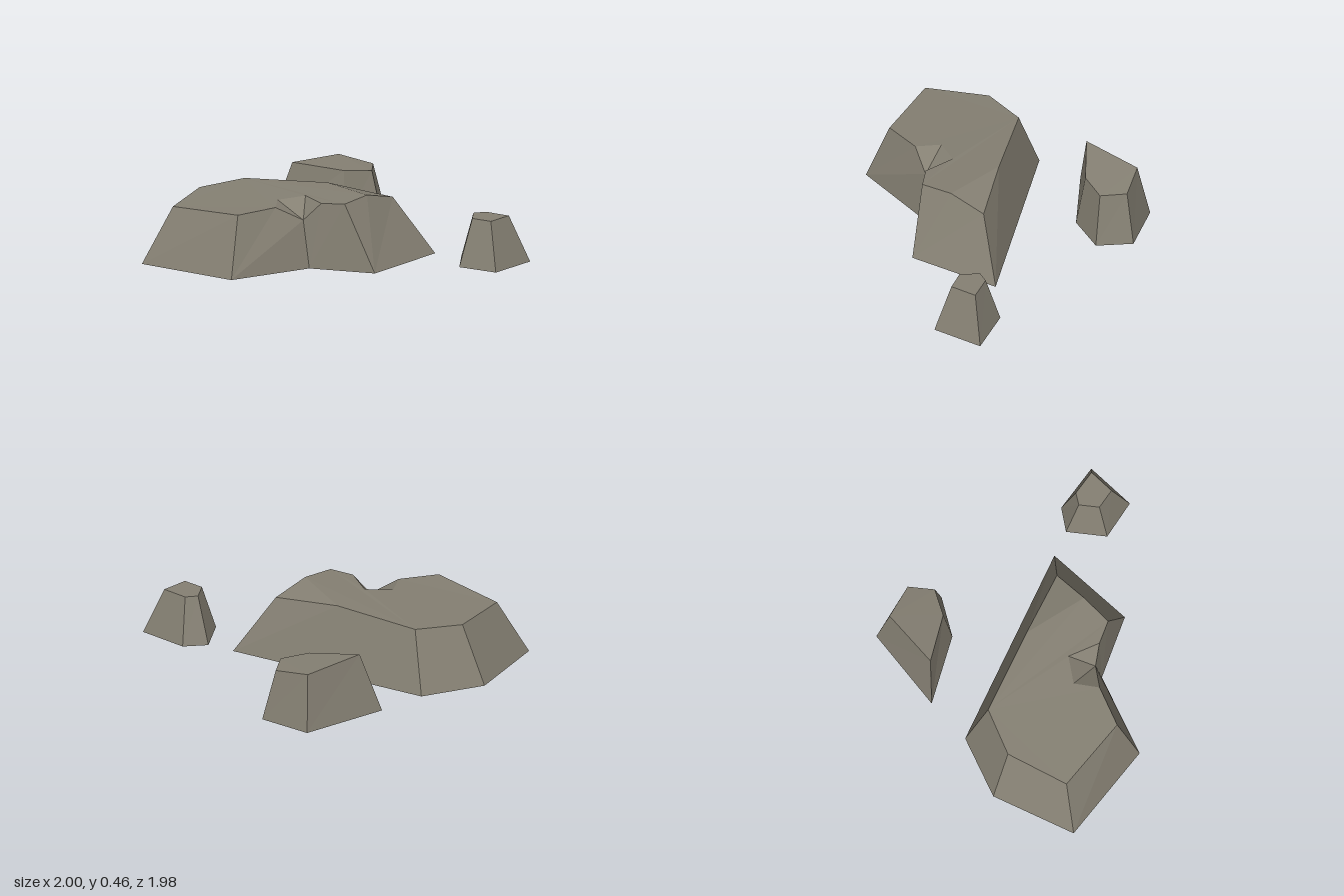
import * as THREE from 'three';

const stone = new THREE.MeshStandardMaterial({ color: 0x858073, flatShading: true, side: THREE.DoubleSide });
stone.name = 'weathered stone';

// Hollow faceted rock, open underneath. base: [x, z] corners, counter-clockwise from above.
// rims[i]: points [x, y, z] above the base edge i -> i+1, first to last.
// tops: top facets, each a counter-clockwise outline.
function rock(name, base, rims, tops) {
  const pos = [];
  const tri = (a, b, c) => pos.push(...a, ...b, ...c);
  const n = base.length;
  for (let i = 0; i < n; i++) {
    const [x0, z0] = base[i], [x1, z1] = base[(i + 1) % n];
    const wall = [[x0, 0, z0], [x1, 0, z1], ...rims[i].slice().reverse()];
    for (let k = 1; k < wall.length - 1; k++) tri(wall[0], wall[k], wall[k + 1]);
  }
  for (const top of tops) {
    const flat = top.map(([x, , z]) => new THREE.Vector2(x, -z));
    for (const [a, b, c] of THREE.ShapeUtils.triangulateShape(flat, [])) tri(top[a], top[b], top[c]);
  }
  const g = new THREE.BufferGeometry();
  g.setAttribute('position', new THREE.Float32BufferAttribute(pos, 3));
  g.computeVertexNormals();
  const mesh = new THREE.Mesh(g, stone);
  mesh.name = name;
  return mesh;
}

// Simple rock: one rim point above every base corner
function simpleRock(name, base, rim) {
  return rock(name, base, rim.map((p, i) => [p, rim[(i + 1) % rim.length]]), [rim]);
}

export function createModel() {
  const group = new THREE.Group();
  group.name = 'rocks';

  // Large slab: rim corners, ridge ends and the chipped notch
  const backLeft = [-0.73, 0.41, 0.09], west = [-0.83, 0.39, 0.40];
  const frontLeft = [-0.675, 0.37, 0.80], frontRight = [-0.165, 0.395, 0.715];
  const east = [0.25, 0.44, 0.15], backTip = [0.22, 0.39, -0.32];
  const ridgeA = [-0.20, 0.44, -0.138], ridgeB = [0.235, 0.455, -0.07];
  const notchFront = [-0.085, 0.41, 0.45], notchLow = [0.015, 0.315, 0.295], notchSide = [0.11, 0.432, 0.225];
  const notchInA = [-0.195, 0.415, 0.32], notchInB = [-0.10, 0.43, 0.16];

  group.add(rock('largeRock',
    [[-0.875, 0.03], [-1, 0.45], [-0.775, 0.985], [-0.09, 0.85], [0.07, 0.295], [0.455, 0.08], [0.39, -0.54]],
    [
      [backLeft, west], [west, frontLeft], [frontLeft, frontRight],
      [frontRight, notchFront, notchLow], [notchLow, notchSide, east],
      [east, ridgeB, backTip], [backTip, ridgeA, backLeft],
    ],
    [
      [backLeft, west, frontLeft, frontRight, notchFront, notchInA, notchInB, notchSide, east, ridgeB, ridgeA],
      [ridgeA, ridgeB, backTip],
      [notchInA, notchFront, notchLow], [notchInA, notchLow, notchInB], [notchInB, notchLow, notchSide],
    ]));

  group.add(simpleRock('smallRock',
    [[0.64, -0.76], [0.555, -0.615], [0.735, -0.415], [0.995, -0.49], [0.965, -0.835]],
    [[0.705, 0.312, -0.69], [0.665, 0.312, -0.615], [0.755, 0.312, -0.515], [0.89, 0.312, -0.55], [0.875, 0.312, -0.73]]));

  group.add(simpleRock('mediumRock',
    [[-0.845, -0.88], [-0.88, -0.295], [-0.475, -0.555], [-0.35, -0.805], [-0.51, -0.99]],
    [[-0.78, 0.38, -0.825], [-0.79, 0.405, -0.41], [-0.51, 0.365, -0.605], [-0.43, 0.345, -0.78], [-0.55, 0.345, -0.91]]));

  return group;
}
